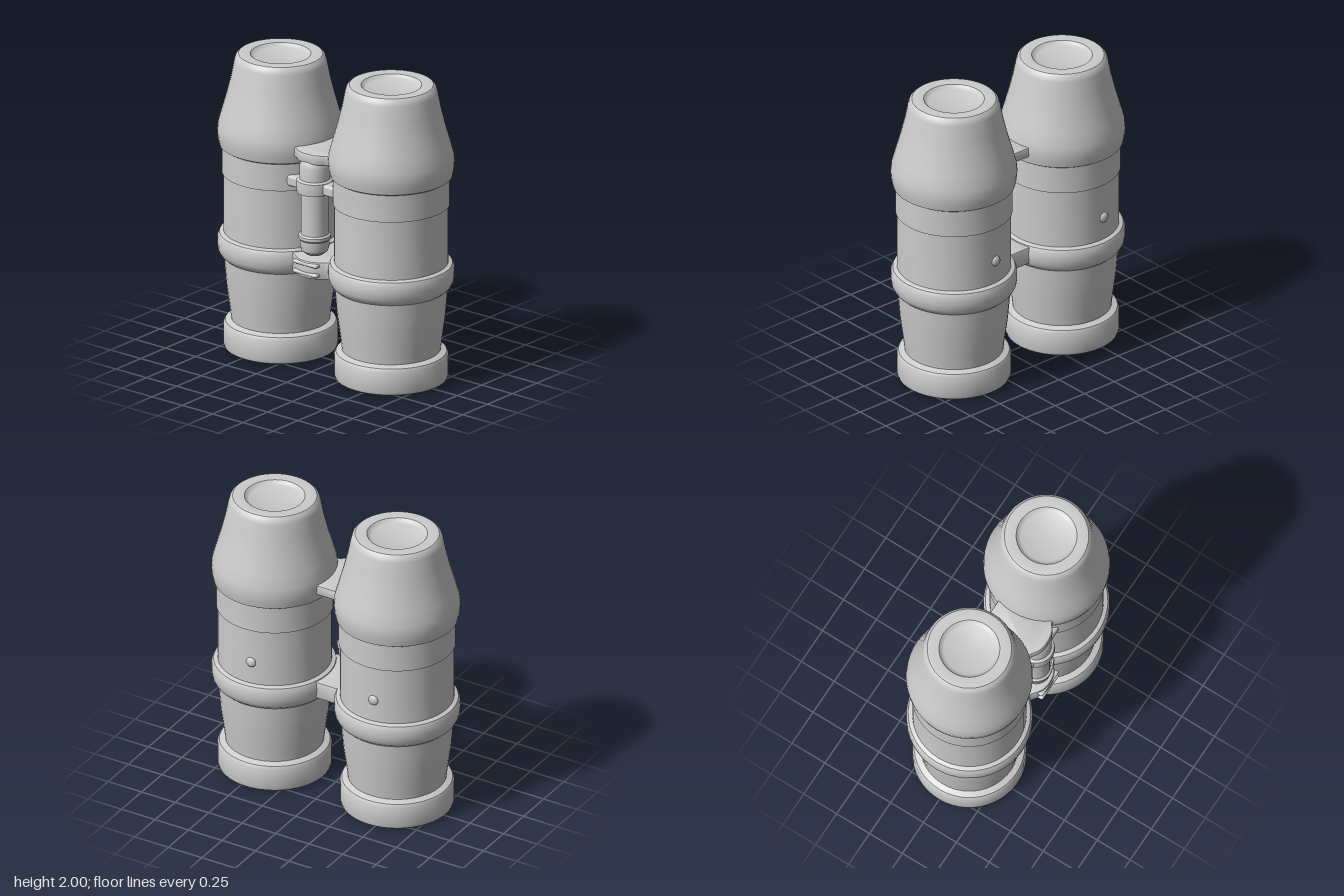
import * as THREE from 'three';
import { toCreasedNormals } from 'three/addons/utils/BufferGeometryUtils.js';
import { RoundedBoxGeometry } from 'three/addons/geometries/RoundedBoxGeometry.js';

const material = new THREE.MeshStandardMaterial({ color: 0xcccccc, roughness: 0.8 });

function part(name, geometry, x = 0, y = 0, z = 0) {
  const mesh = new THREE.Mesh(geometry, material);
  mesh.name = name;
  mesh.position.set(x, y, z);
  return mesh;
}

// Profiles run from the bottom centre, up the outside, to the top centre
function lathe(profile, segments) {
  const points = profile.map(([r, y]) => new THREE.Vector2(r, y));
  return toCreasedNormals(new THREE.LatheGeometry(points, segments), 0.55);
}

// Plate lying between the barrels, with flared wings and a rounded front
function plate(height, front, wing) {
  const s = new THREE.Shape();
  s.moveTo(-0.1, -0.12);
  s.lineTo(0.1, -0.12);
  s.lineTo(0.11, 0.16);
  s.lineTo(wing, 0.25);
  s.bezierCurveTo(0.1, 0.25, 0.11, front, 0, front);
  s.bezierCurveTo(-0.11, front, -0.1, 0.25, -wing, 0.25);
  s.lineTo(-0.11, 0.16);
  s.closePath();
  const bevel = 0.012;
  const g = new THREE.ExtrudeGeometry(s, {
    depth: height - 2 * bevel, bevelThickness: bevel, bevelSize: bevel,
    bevelOffset: -bevel, bevelSegments: 2, curveSegments: 12,
  });
  g.translate(0, 0, bevel - height / 2);
  g.rotateX(Math.PI / 2);
  return toCreasedNormals(g, 0.6);
}

const barrelProfile = [
  // hollow eyepiece with a sunken lens
  [0, 0.12], [0.12, 0.11], [0.2, 0.075], [0.25, 0.07], [0.275, 0.03], [0.285, 0],
  // eyecup
  [0.345, 0], [0.36, 0.01], [0.366, 0.03], [0.366, 0.165], [0.355, 0.185], [0.317, 0.2],
  // tapered lower tube
  [0.325, 0.27], [0.347, 0.43], [0.357, 0.55], [0.362, 0.62],
  // raised band
  [0.385, 0.64], [0.4, 0.67], [0.405, 0.71], [0.404, 0.76], [0.392, 0.785], [0.366, 0.795],
  // main tube and collar
  [0.366, 1.19], [0.376, 1.192], [0.376, 1.375],
  // hood
  [0.392, 1.385], [0.402, 1.43], [0.406, 1.48], [0.401, 1.53], [0.376, 1.62],
  [0.345, 1.73], [0.316, 1.85], [0.297, 1.95], [0.288, 1.98], [0.27, 1.997],
  // front rim and shallow recess
  [0.25, 2], [0.195, 1.996], [0.18, 1.98], [0.165, 1.974], [0, 1.974],
];

const pinProfile = [
  [0, 0.79], [0.055, 0.8], [0.085, 0.825], [0.095, 0.86], [0.096, 0.9],
  [0.104, 0.91], [0.104, 0.93], [0.09, 0.94], [0.09, 1.215],
  [0.116, 1.225], [0.12, 1.265], [0.116, 1.305], [0.098, 1.315],
  [0.098, 1.4], [0.088, 1.44], [0.06, 1.47], [0, 1.48],
];

export function createModel() {
  const model = new THREE.Group();
  model.name = 'binoculars';

  const barrelGeometry = lathe(barrelProfile, 48);
  const studGeometry = new THREE.SphereGeometry(0.035, 16, 10);
  studGeometry.scale(1, 1, 0.55);

  for (const [side, sign] of [['left', 1], ['right', -1]]) {
    const barrel = new THREE.Group();
    barrel.name = side + 'Barrel';
    barrel.position.x = sign * 0.457;
    barrel.add(part(side + 'Tube', barrelGeometry));
    barrel.add(part(side + 'RearStud', studGeometry, -0.04, 0.95, -0.362));
    model.add(barrel);
  }

  // Hinge joining the two barrels
  const hinge = new THREE.Group();
  hinge.name = 'hinge';
  hinge.add(part('hingePin', lathe(pinProfile, 32), 0, 0, 0.215));
  hinge.add(part('upperBridge', plate(0.07, 0.3, 0.15), 0, 1.468, 0));
  hinge.add(part('lowerBridge', plate(0.12, 0.32, 0.19), 0, 0.72, 0));
  hinge.add(part('pinClamp', new RoundedBoxGeometry(0.4, 0.075, 0.1, 3, 0.02), 0, 1.265, 0.215));
  // Ribs on the front of the lower bridge
  for (const y of [0.69, 0.755]) {
    hinge.add(part('bridgeRib', new RoundedBoxGeometry(0.2, 0.025, 0.1, 3, 0.012), 0, y, 0.275));
  }
  model.add(hinge);

  return model;
}
